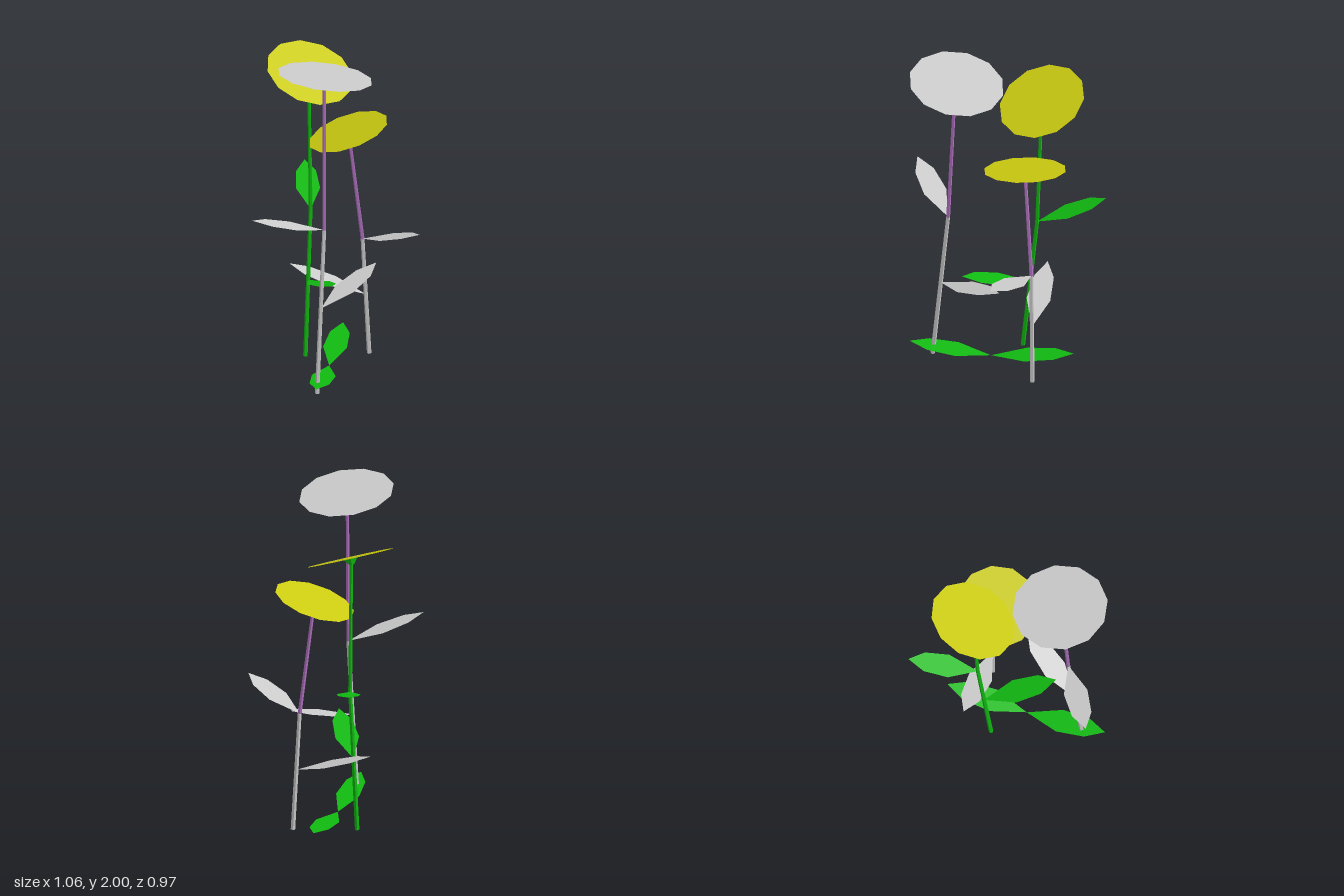
import * as THREE from 'three';

const V = (a) => new THREE.Vector3(...a);
const UP = new THREE.Vector3(0, 1, 0);
const mat = (color) => new THREE.MeshStandardMaterial({ color, flatShading: true, side: THREE.DoubleSide });
const grey = mat(0xcccccc), green = mat(0x11bb11), yellow = mat(0xcccc11), purple = mat(0xb070c0);

function add(group, name, geometry, material) {
  const mesh = new THREE.Mesh(geometry, material);
  mesh.name = name;
  group.add(mesh);
  return mesh;
}

// Straight five-sided piece of stem between two points
function stem(group, name, from, to, r0, r1, material) {
  const a = V(from), b = V(to), d = b.clone().sub(a);
  const mesh = add(group, name, new THREE.CylinderGeometry(r1, r0, d.length(), 5), material);
  mesh.position.copy(a).addScaledVector(d, 0.5);
  mesh.quaternion.setFromUnitVectors(UP, d.normalize());
}

// Flat six-cornered leaf from base to tip, level across its width
function leaf(group, name, base, tip, material) {
  const a = V(base), b = V(tip);
  const side = b.clone().sub(a).cross(UP).normalize();
  const at = (t, w) => a.clone().lerp(b, t).addScaledVector(side, w);
  const points = [at(0, 0), at(0.42, 0.07), at(0.77, 0.058), at(1, 0), at(0.77, -0.058), at(0.42, -0.07)];
  const geo = new THREE.BufferGeometry().setFromPoints(points);
  geo.setIndex([0, 1, 5, 1, 2, 5, 2, 4, 5, 2, 3, 4]);
  geo.computeVertexNormals();
  add(group, name, geo, material);
}

// Twelve-sided flower disc with a small cup beneath it
function head(group, centre, normal, radius, petals, cup) {
  const g = new THREE.Group();
  g.name = 'flowerHead';
  add(g, 'petalDisc', new THREE.CircleGeometry(radius, 12).rotateX(-Math.PI / 2), petals);
  add(g, 'calyx', new THREE.CylinderGeometry(0.045, 0.014, 0.04, 5), cup).position.y = -0.022;
  g.position.copy(V(centre));
  g.quaternion.setFromUnitVectors(UP, V(normal).normalize());
  group.add(g);
}

const FLOWERS = [
  { name: 'tallFlower', foot: [-0.21, 0, 0.27], bend: [-0.118, 1, 0.238], top: [-0.088, 1.93, 0.21],
    centre: [-0.08, 1.955, 0.207], normal: [0.175, 1, 0], radius: 0.28,
    lower: grey, upper: purple, leafMat: grey, petals: grey, cup: grey,
    leaves: [[[-0.118, 1, 0.238], [-0.53, 1.135, 0.053]], [[-0.163, 0.52, 0.255], [0.3, 0.663, 0.253]]] },
  { name: 'middleFlower', foot: [0.12, 0, -0.145], bend: [0.2, 0.9, -0.18], top: [0.212, 1.73, -0.207],
    centre: [0.217, 1.757, -0.203], normal: [-0.05, 0.91, 0.416], radius: 0.262,
    lower: green, upper: green, leafMat: green, petals: yellow, cup: green,
    leaves: [[[0.2, 0.9, -0.18], [0.465, 1.035, -0.487]], [[0.163, 0.465, -0.163], [-0.03, 0.605, 0.215]]] },
  { name: 'shortFlower', foot: [0.41, 0, 0.09], bend: [0.38, 0.73, 0.065], top: [0.3, 1.405, 0.033],
    centre: [0.297, 1.427, 0.03], normal: [-0.235, 1, -0.22], radius: 0.242,
    lower: grey, upper: purple, leafMat: grey, petals: yellow, cup: green,
    leaves: [[[0.38, 0.73, 0.065], [0.435, 0.865, 0.475]], [[0.394, 0.375, 0.077], [0.16, 0.525, -0.315]]] },
];

export function createModel() {
  const model = new THREE.Group();
  model.name = 'flowers';
  for (const f of FLOWERS) {
    const g = new THREE.Group();
    g.name = f.name;
    stem(g, 'lowerStem', f.foot, f.bend, 0.014, 0.012, f.lower);
    stem(g, 'upperStem', f.bend, f.top, 0.012, 0.01, f.upper);
    f.leaves.forEach(([base, tip], i) => leaf(g, i ? 'lowerLeaf' : 'upperLeaf', base, tip, f.leafMat));
    head(g, f.centre, f.normal, f.radius, f.petals, f.cup);
    model.add(g);
  }
  // Pair of leaves lying near the ground
  leaf(model, 'groundLeafRight', [0.08, 0.025, 0.085], [-0.31, 0.085, 0.36], green);
  leaf(model, 'groundLeafLeft', [0.08, 0.025, 0.085], [0.48, 0.085, -0.19], green);
  return model;
}
